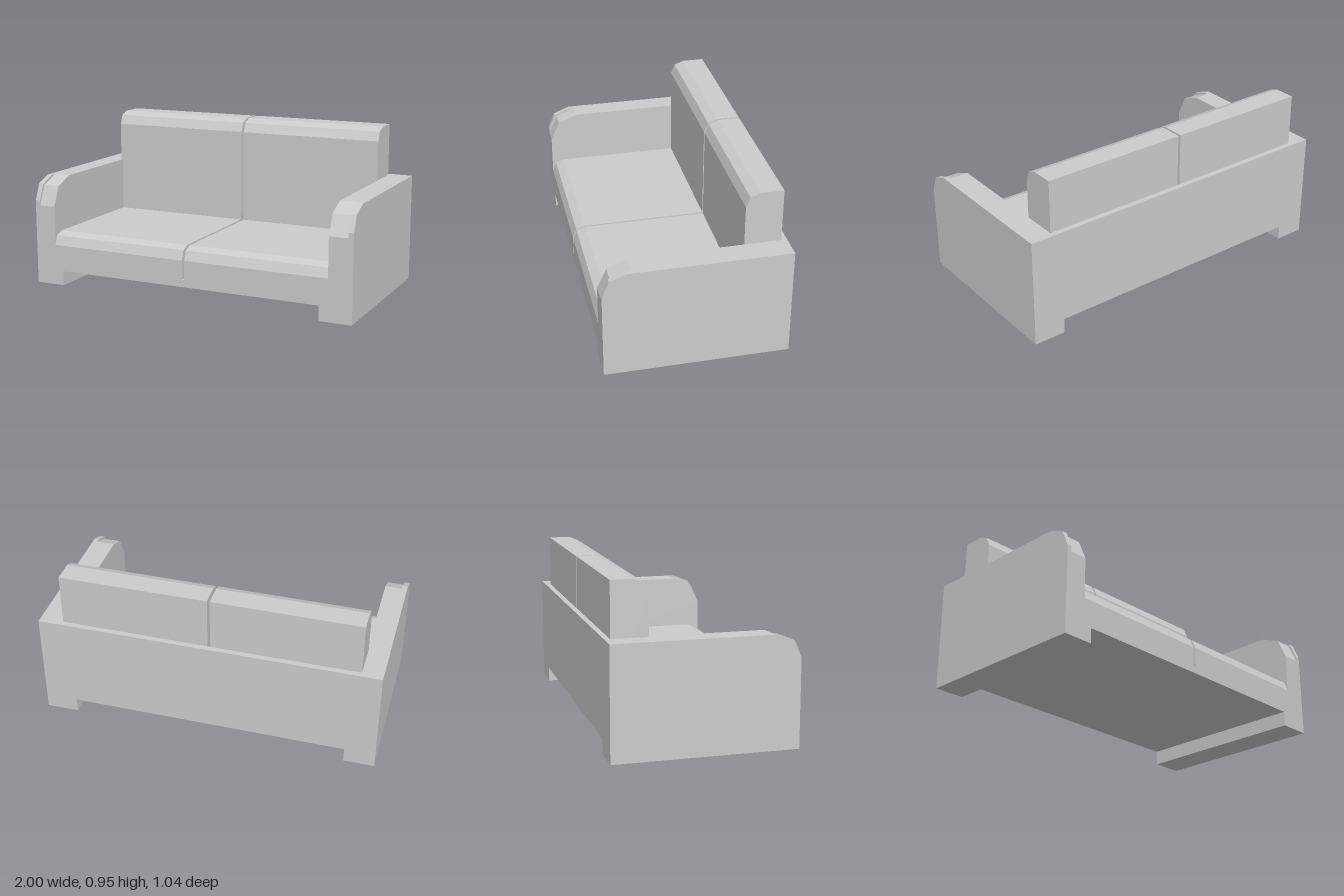
import * as THREE from 'three';

const material = new THREE.MeshStandardMaterial({ color: 0xcccccc, flatShading: true });

// Extrudes a side profile of [z, y] points from x0 to x1.
function slab(name, profile, x0, x1) {
  const shape = new THREE.Shape(profile.map(([z, y]) => new THREE.Vector2(z, y)));
  const geometry = new THREE.ExtrudeGeometry(shape, { depth: x1 - x0, bevelEnabled: false });
  geometry.rotateY(-Math.PI / 2).translate(x1, 0, 0);
  const mesh = new THREE.Mesh(geometry, material);
  mesh.name = name;
  return mesh;
}

// Block profile whose upper front edge is cut by two facets.
function facetedProfile(back, front, bottom, top, [d1, h1], [d2, h2]) {
  return [
    [back, bottom], [front, bottom], [front, top - h1],
    [front - d2, top - h2], [front - d1, top], [back, top],
  ];
}

const blockProfile = (back, front, bottom, top) =>
  [[back, bottom], [front, bottom], [front, top], [back, top]];

export function createModel() {
  const sofa = new THREE.Group();
  sofa.name = 'sofa';
  const back = -0.522, front = 0.522, armTop = 0.638, baseTop = 0.13;

  // Base board and the two runners it stands on
  sofa.add(slab('base', blockProfile(back, front, 0.087, baseTop), -1, 1));
  sofa.add(slab('rightRunner', blockProfile(back, front, 0, 0.087), -1, -0.82));
  sofa.add(slab('leftRunner', blockProfile(back, front, 0, 0.087), 0.81, 1));

  // Arms: a padded inner part and a thin outer panel with a smaller cut
  const armPad = facetedProfile(back, front, baseTop, armTop, [0.165, 0.163], [0.052, 0.047]);
  const armPanel = facetedProfile(back, front, baseTop, armTop, [0.135, 0.133], [0.04, 0.038]);
  sofa.add(slab('rightArmPad', armPad, -0.97, -0.87));
  sofa.add(slab('leftArmPad', armPad, 0.86, 0.97));
  sofa.add(slab('rightArmPanel', armPanel, -1, -0.97));
  sofa.add(slab('leftArmPanel', armPanel, 0.97, 1));

  // Back panel between the arms
  sofa.add(slab('backPanel', blockProfile(back, -0.49, baseTop, armTop), -0.87, 0.86));

  // Two seat and back cushions with a narrow gap between them
  const seat = facetedProfile(-0.49, front, baseTop, 0.318, [0.073, 0.075], [0.022, 0.02]);
  const rest = facetedProfile(-0.49, -0.282, 0.318, 0.947, [0.078, 0.077], [0.024, 0.022]);
  for (const [side, x0, x1] of [['right', -0.87, -0.02], ['left', -0.005, 0.86]]) {
    sofa.add(slab(side + 'SeatCushion', seat, x0, x1));
    sofa.add(slab(side + 'BackCushion', rest, side === 'right' ? -0.88 : x0, x1));
  }
  return sofa;
}
